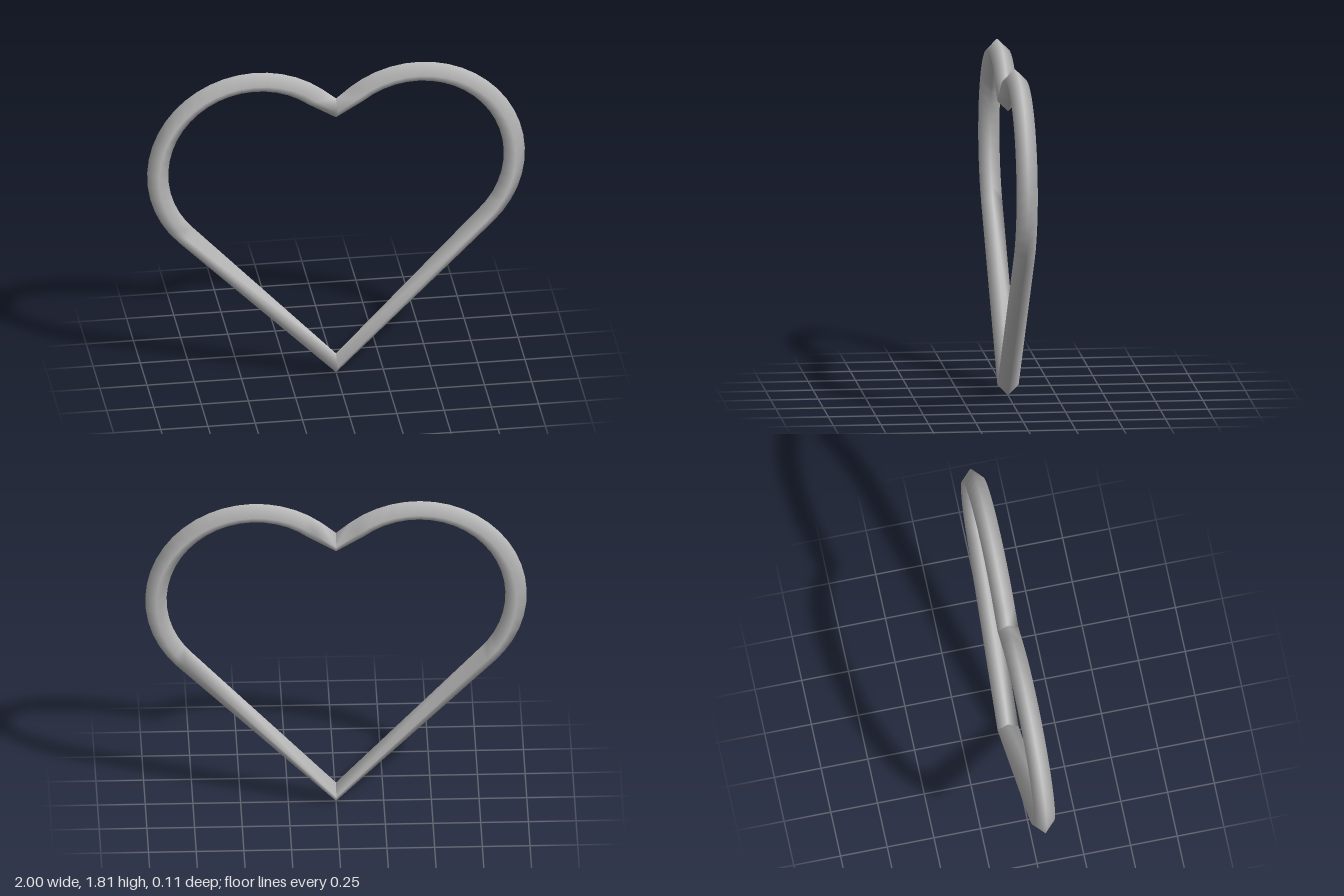
import * as THREE from 'three';

const R = 0.056; // half width of the diamond-shaped bar

// Stations along one half: centre and outward direction in the xy plane
function stations() {
  const list = [{ x: 0, y: 0.058, nx: 0, ny: -1 }]; // bottom tip, cut upright
  const cx = 0.428, cy = 1.24, r = 0.516, steps = 22;
  for (let i = 0; i <= steps; i++) {
    const a = THREE.MathUtils.degToRad(-45 + (173 * i) / steps);
    const nx = Math.cos(a), ny = Math.sin(a);
    list.push({ x: cx + r * nx, y: cy + r * ny, nx, ny });
  }
  list.push({ x: 0, y: 1.572, nx: 0, ny: 1 }); // notch, cut upright
  return list;
}

// Four-sided smooth bar lofted through the stations; side is +1 or -1
function halfHeart(side) {
  const pos = [], index = [];
  const st = stations();
  for (const s of st) {
    for (let k = 0; k < 4; k++) {
      const o = R * Math.round(Math.cos((k * Math.PI) / 2));
      const z = R * Math.round(Math.sin((k * Math.PI) / 2));
      pos.push(side * (s.x + s.nx * o), s.y + s.ny * o, z);
    }
  }
  for (let i = 0; i < st.length - 1; i++) {
    for (let k = 0; k < 4; k++) {
      const a = i * 4 + k, b = i * 4 + ((k + 1) % 4), c = a + 4, d = b + 4;
      if (side > 0) index.push(a, c, b, b, c, d);
      else index.push(a, b, c, b, d, c);
    }
  }
  const g = new THREE.BufferGeometry();
  g.setAttribute('position', new THREE.Float32BufferAttribute(pos, 3));
  g.setIndex(index);
  g.computeVertexNormals();
  return g;
}

export function createModel() {
  const group = new THREE.Group();
  group.name = 'heartFrame';
  const metal = new THREE.MeshStandardMaterial({ color: 0xc0c0c0 });
  metal.name = 'silverGrey';
  // Left and right halves meet at the tip and the notch
  for (const side of [1, -1]) {
    const mesh = new THREE.Mesh(halfHeart(side), metal);
    mesh.name = side > 0 ? 'leftHalf' : 'rightHalf';
    group.add(mesh);
  }
  return group;
}
